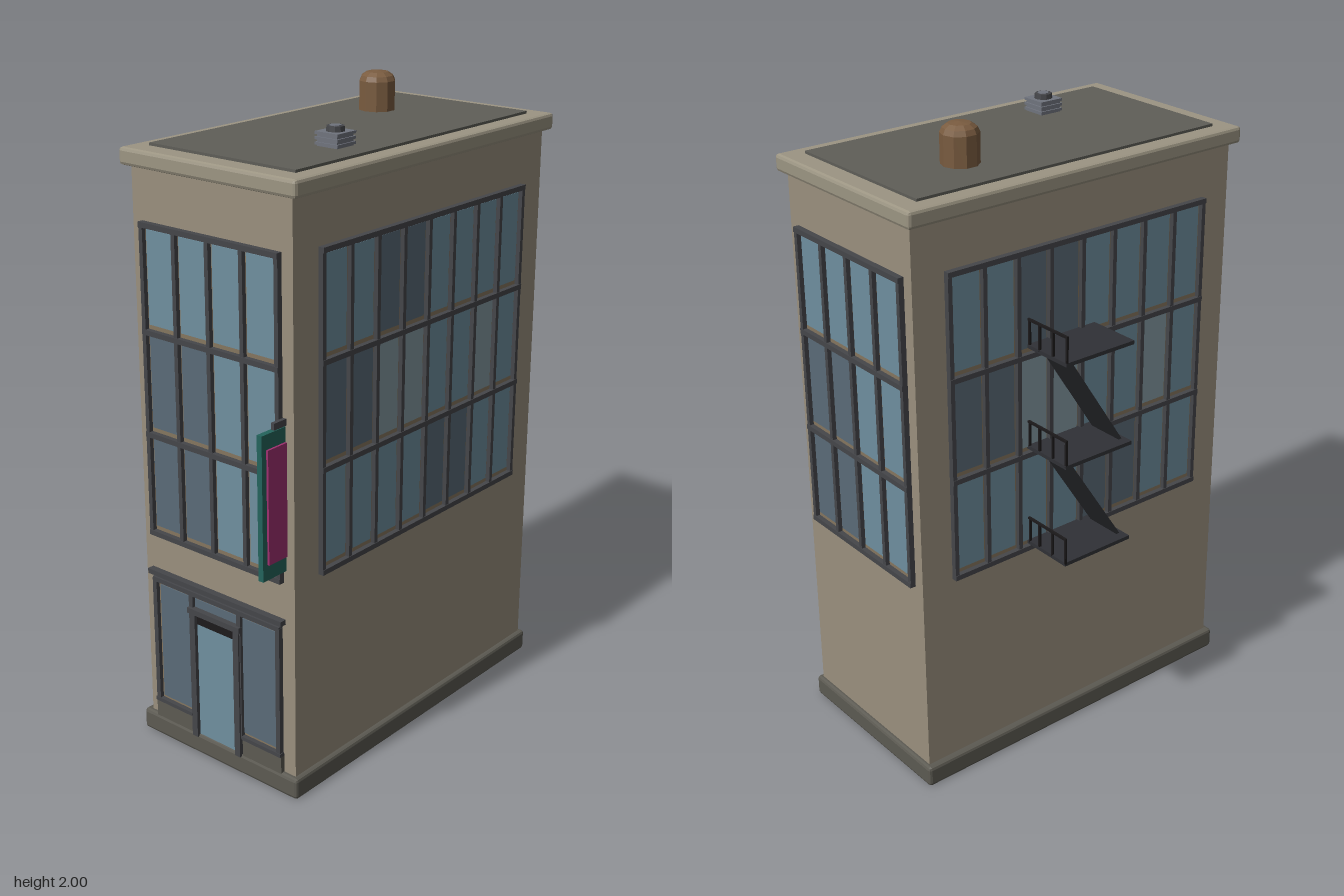
import * as THREE from 'three';
import { RoundedBoxGeometry } from 'three/addons/geometries/RoundedBoxGeometry.js';

const mat = (color, extra = {}) => new THREE.MeshStandardMaterial({ color, flatShading: true, ...extra });
const M = {
  wall: mat(0x9a907e), cornice: mat(0x9c9583), base: mat(0x5c5a52), roof: mat(0x5f5e58),
  frame: mat(0x45464a), lining: mat(0x85765f), iron: mat(0x303136), black: mat(0x1c1a1b),
  glass: mat(0x6f8f9f), glassDark: mat(0x5a6b78), glassLight: mat(0x8499a2),
  teal: mat(0x24645c), magenta: mat(0xa03070), rust: mat(0x7a5c40), metal: mat(0x70747e),
};

function add(parent, name, geometry, material, x = 0, y = 0, z = 0) {
  const mesh = new THREE.Mesh(geometry, material);
  mesh.name = name;
  mesh.position.set(x, y, z);
  parent.add(mesh);
  return mesh;
}

// Box given by its minimum and maximum corners
function box(parent, name, material, [x0, y0, z0], [x1, y1, z1]) {
  return add(parent, name, new THREE.BoxGeometry(x1 - x0, y1 - y0, z1 - z0), material,
    (x0 + x1) / 2, (y0 + y1) / 2, (z0 + z1) / 2);
}

// Chamfered slab for plinth and cornice
function slab(parent, name, material, [x0, y0, z0], [x1, y1, z1]) {
  return add(parent, name, new RoundedBoxGeometry(x1 - x0, y1 - y0, z1 - z0, 1, 0.01), material,
    (x0 + x1) / 2, (y0 + y1) / 2, (z0 + z1) / 2);
}

// Industrial window grid facing local +z; each pattern row has one letter per pane
function windowGrid(name, width, pattern) {
  const g = new THREE.Group();
  g.name = name;
  const y0 = 0.705, y1 = 1.66, cols = pattern[0].length, rows = pattern.length;
  const cw = width / cols, rh = (y1 - y0) / rows, hw = width / 2;
  const glass = { a: M.glass, d: M.glassDark, l: M.glassLight };
  box(g, 'windowLining', M.lining, [-hw, y0, -0.005], [hw, y1, 0.003]);
  for (let r = 0; r < rows; r++) {
    const top = y1 - r * rh;
    for (let c = 0; c < cols; c++) {
      const x = -hw + c * cw;
      box(g, 'pane', glass[pattern[r][c]],
        [x + 0.012, top - rh + 0.022, 0], [x + cw - 0.012, top - 0.014, 0.006]);
    }
  }
  for (let c = 0; c <= cols; c++) {
    const x = -hw + c * cw;
    box(g, 'mullion', M.frame, [x - 0.007, y0 - 0.006, 0], [x + 0.007, y1 + 0.006, 0.017]);
  }
  for (let r = 0; r <= rows; r++) {
    const y = y0 + r * rh;
    box(g, 'transom', M.frame, [-hw - 0.007, y - 0.008, 0], [hw + 0.007, y + 0.008, 0.019]);
  }
  return g;
}

function storefront() {
  const g = new THREE.Group();
  g.name = 'storefront';
  g.position.z = 0.55;
  box(g, 'shopLintel', M.frame, [-0.2, 0.564, 0], [0.34, 0.58, 0.022]);
  box(g, 'shopLining', M.lining, [-0.18, 0.125, -0.005], [0.32, 0.55, 0.003]);
  for (const [x0, x1] of [[-0.165, -0.035], [0.175, 0.305]]) {
    box(g, 'shopGlass', M.glassDark, [x0, 0.142, 0], [x1, 0.53, 0.006]);
  }
  box(g, 'shopTransomGlass', M.glassDark, [-0.02, 0.5, 0], [0.16, 0.53, 0.006]);
  box(g, 'shopHead', M.frame, [-0.187, 0.54, 0], [0.327, 0.555, 0.016]);
  for (const [x0, x1] of [[-0.19, -0.035], [0.175, 0.33]]) {
    box(g, 'stallRiser', M.base, [x0, 0.06, 0], [x1, 0.125, 0.014]);
    box(g, 'shopSill', M.frame, [x0, 0.122, 0], [x1, 0.134, 0.018]);
  }
  for (const x of [-0.18, -0.027, 0.167, 0.32]) {
    box(g, 'shopPost', M.frame, [x - 0.008, 0.125, 0], [x + 0.008, 0.55, 0.016]);
  }
  // Door
  box(g, 'doorGlass', M.glass, [-0.008, 0.06, 0], [0.15, 0.45, 0.01]);
  box(g, 'doorTransom', M.black, [-0.008, 0.45, 0], [0.15, 0.485, 0.012]);
  for (const x of [-0.018, 0.16]) {
    box(g, 'doorPost', M.frame, [x - 0.011, 0.06, 0], [x + 0.011, 0.5, 0.022]);
  }
  box(g, 'doorHead', M.frame, [-0.034, 0.485, 0], [0.176, 0.503, 0.025]);
  return g;
}

function fireEscape() {
  const g = new THREE.Group();
  g.name = 'fireEscape';
  const levels = [0.72, 1.045, 1.37], zBack = -0.24, zFront = 0.015, out = -0.405, wall = -0.225;
  levels.forEach((y, i) => {
    box(g, 'platform', M.iron, [out, y - 0.006, zBack], [wall, y + 0.006, zFront]);
    // End railing
    box(g, 'handrail', M.black, [out, y + 0.08, zBack], [wall, y + 0.087, zBack + 0.007]);
    for (const x of [out, -0.345, -0.285, -0.24]) {
      box(g, 'railPost', M.black, [x, y, zBack], [x + 0.006, y + 0.085, zBack + 0.007]);
    }
    // Sloping flight up to the next platform
    if (i < levels.length - 1) {
      const rise = levels[i + 1] - y, run = 0.21;
      const flight = add(g, 'stairFlight', new THREE.BoxGeometry(0.12, Math.hypot(rise, run), 0.01),
        M.iron, -0.315, y + rise / 2, -0.105);
      flight.rotation.x = -Math.atan2(run, rise);
    }
  });
  return g;
}

function hangingSign() {
  const g = new THREE.Group();
  g.name = 'hangingSign';
  g.position.x = 0.342;
  box(g, 'signBoard', M.teal, [-0.009, 0.742, 0.558], [0.009, 1.18, 0.655]);
  box(g, 'signPanel', M.magenta, [-0.016, 0.79, 0.56], [0.016, 1.135, 0.637]);
  box(g, 'signBracket', M.frame, [-0.006, 1.18, 0.55], [0.006, 1.2, 0.6]);
  return g;
}

function roofItems() {
  const g = new THREE.Group();
  g.name = 'roofItems';
  // Domed tank
  const profile = [[0, 1.87], [0.057, 1.87], [0.057, 1.97], [0.05, 1.985], [0.034, 1.996], [0, 2]]
    .map(([r, y]) => new THREE.Vector2(r, y));
  add(g, 'waterTank', new THREE.LatheGeometry(profile, 10), M.rust, -0.03, 0, -0.315);
  // Vent box with louvres and fan
  const vent = new THREE.Group();
  vent.name = 'roofVent';
  vent.position.set(0.225, 0, 0.195);
  g.add(vent);
  box(vent, 'ventBody', M.metal, [-0.036, 1.87, -0.036], [0.036, 1.922, 0.036]);
  for (const y of [1.888, 1.903, 1.918]) {
    box(vent, 'ventLouvre', M.metal, [-0.041, y - 0.004, -0.041], [0.041, y + 0.004, 0.041]);
  }
  add(vent, 'ventCollar', new THREE.CylinderGeometry(0.026, 0.028, 0.016, 10), M.frame, 0, 1.929, 0);
  add(vent, 'ventFan', new THREE.CylinderGeometry(0.017, 0.017, 0.004, 10), M.metal, 0, 1.937, 0);
  return g;
}

export function createModel() {
  const model = new THREE.Group();
  model.name = 'building';
  box(model, 'walls', M.wall, [-0.225, 0.03, -0.63], [0.375, 1.83, 0.55]);
  slab(model, 'plinth', M.base, [-0.247, 0, -0.645], [0.392, 0.068, 0.567]);
  slab(model, 'cornice', M.cornice, [-0.258, 1.82, -0.655], [0.4, 1.872, 0.568]);
  box(model, 'roofDeck', M.roof, [-0.202, 1.86, -0.588], [0.343, 1.88, 0.5]);

  // Window grids on all four sides: x, z, turn, width, panes
  const shortSide = ['aaaa', 'ddaa', 'ddaa'];
  const longSide = ['aaddaaaa', 'ddllaala', 'aaaaddaa'];
  const sides = [
    ['frontWindows', 0.073, 0.55, 0, 0.51, shortSide],
    ['backWindows', 0.073, -0.63, Math.PI, 0.51, shortSide],
    ['leftWindows', 0.375, -0.038, Math.PI / 2, 0.955, longSide],
    ['rightWindows', -0.225, -0.038, -Math.PI / 2, 0.955, longSide],
  ];
  for (const [name, x, z, turn, width, panes] of sides) {
    const grid = windowGrid(name, width, panes);
    grid.position.set(x, 0, z);
    grid.rotation.y = turn;
    model.add(grid);
  }

  model.add(storefront(), fireEscape(), hangingSign(), roofItems());
  return model;
}
